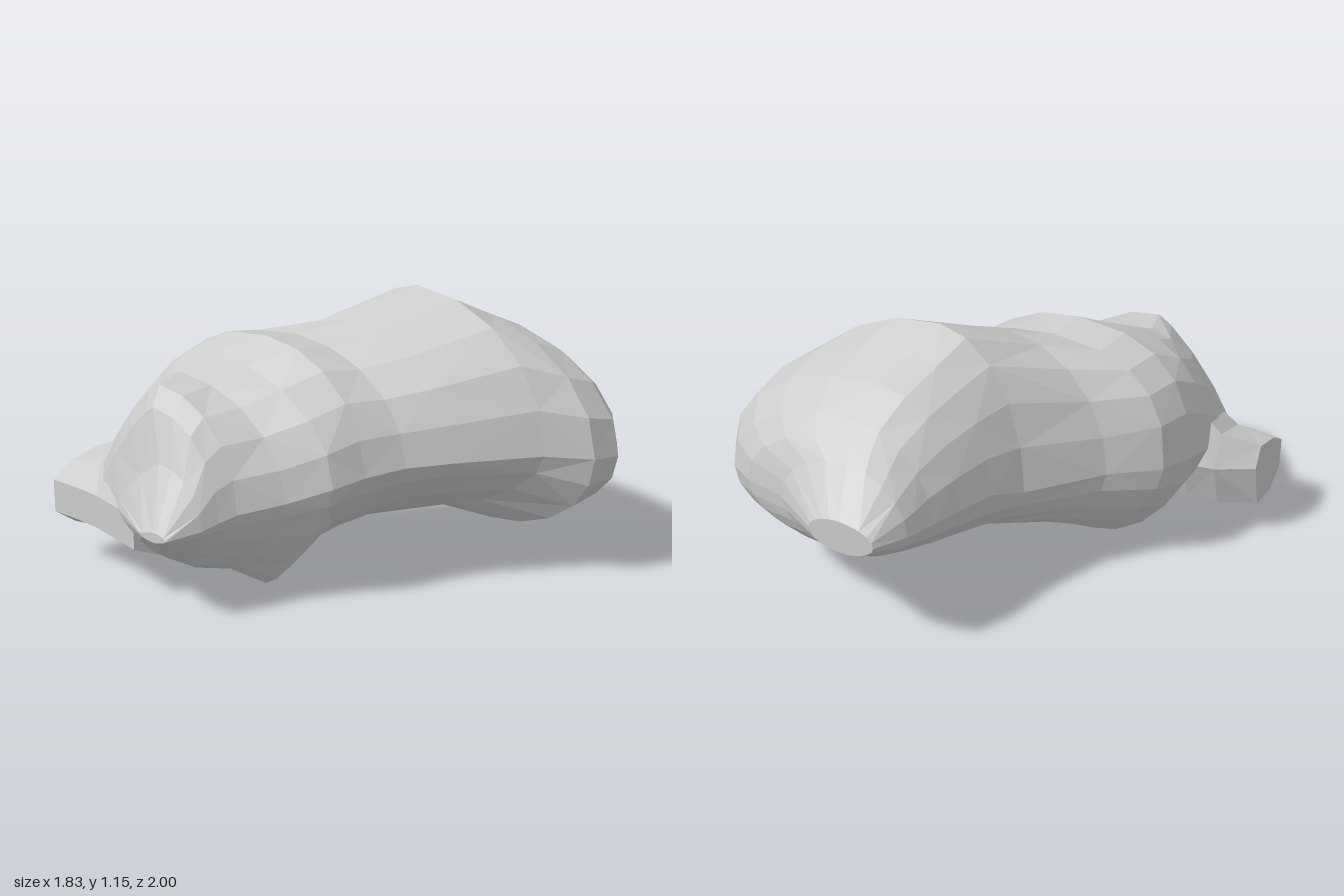
import * as THREE from 'three';

// Skin a list of equal-length closed rings and cap both ends
function loft(rings) {
  const pos = [], n = rings[0].length;
  const tri = (...p) => p.forEach(v => pos.push(v.x, v.y, v.z));
  const mid = r => r.reduce((s, p) => s.add(p), new THREE.Vector3()).divideScalar(n);
  const first = rings[0], last = rings[rings.length - 1];
  const c0 = mid(first), c1 = mid(last);
  for (let j = 0; j < n; j++) {
    const k = (j + 1) % n;
    for (let i = 0; i < rings.length - 1; i++) {
      const a = rings[i][j], b = rings[i + 1][j], c = rings[i + 1][k], d = rings[i][k];
      // alternate the diagonals for irregular facets
      if ((i + j) % 2) { tri(a, b, d); tri(b, c, d); }
      else { tri(a, b, c); tri(a, c, d); }
    }
    tri(c0, first[j], first[k]);
    tri(c1, last[k], last[j]);
  }
  const g = new THREE.BufferGeometry();
  g.setAttribute('position', new THREE.Float32BufferAttribute(pos, 3));
  g.computeVertexNormals();
  return g;
}

// Boulder sections: z, left x/y, right x/y, crest x/y, underside x/y
const SECTIONS = [
  [1.0, -.2, .36, -.05, .36, -.12, .38, -.12, .34],
  [.87, -.48, .36, .01, .38, -.22, .6, -.2, .22],
  [.8, -.66, .36, .03, .4, -.32, .79, -.2, .18],
  [.73, -.74, .38, .06, .42, -.36, .86, -.18, .14],
  [.58, -.74, .42, .17, .45, -.4, .87, -.14, .1],
  [.44, -.73, .45, .29, .5, -.36, .93, -.08, .01],
  [.3, -.72, .48, .33, .52, -.2, 1.0, -.3, 0],
  [.15, -.68, .5, .41, .54, -.17, .98, -.22, .09],
  [0, -.5, .5, .53, .55, -.05, 1.03, -.13, .16],
  [-.28, -.28, .5, .76, .56, .1, 1.15, .12, .23],
  [-.43, -.22, .55, .9, .54, .14, 1.07, .38, .17],
  [-.58, -.17, .55, .91, .52, .18, 1.0, .38, .22],
  [-.72, -.13, .55, .81, .52, .2, .91, .35, .29],
  [-.8, -.12, .56, .68, .54, .18, .85, .28, .35],
  [-.86, -.11, .57, .47, .56, .15, .8, .2, .4],
  [-1, -.05, .58, .24, .58, .1, .65, .1, .51],
];

// Four superellipse quarters joining right, crest, left and underside
function bodyRing([z, lx, ly, rx, ry, tx, ty, bx, by]) {
  const ring = [], steps = 20;
  const { lerp, smoothstep } = THREE.MathUtils;
  const rear = smoothstep(-z, .1, .5);
  for (let j = 0; j < steps; j++) {
    const a = (j / steps) * Math.PI * 2, c = Math.cos(a), s = Math.sin(a);
    const up = s >= 0, right = c >= 0;
    // the left shoulder is sliced off towards the front; the belly is lean
    let e = 2;
    if (up && !right && z > .1) e = lerp(2.6, 1.25, smoothstep(z, .32, .76));
    if (!up) e = lerp(right ? 1.3 : 1.7, right ? 2.1 : 1.8, rear);
    const u = Math.abs(c) ** (2 / e), v = Math.abs(s) ** (2 / e);
    const sx = right ? rx : lx, sy = right ? ry : ly;
    const px = up ? tx : bx, py = up ? ty : by;
    ring.push(new THREE.Vector3(px + (sx - px) * u, sy + (py - sy) * v, z));
  }
  return ring;
}

// Spur end face (z, y); further rings deepen and lift until they meet the shoulder
const SPUR = [[.73, .15], [.83, .22], [.83, .36], [.73, .42], [.59, .45], [.55, .36], [.6, .16]];
const SPUR_RINGS = [ // x, front z, depth scale, lift
  [-.92, .83, 1, 1], [-.77, .83, 1.32, 1.6], [-.64, .84, 1.45, 3],
  [-.5, .87, 1.5, 4.2], [-.35, .9, 1.5, 5],
];
const spurRing = ([x, front, depth, lift]) => SPUR.map(([z, y]) =>
  new THREE.Vector3(x, y > .36 ? .36 + (y - .36) * lift : y, front + (z - .83) * depth));

export function createModel() {
  const group = new THREE.Group();
  group.name = 'rock';
  const material = new THREE.MeshStandardMaterial({ color: 0xcccccc, flatShading: true });
  const add = (name, rings) => {
    const mesh = new THREE.Mesh(loft(rings), material);
    mesh.name = name;
    group.add(mesh);
  };
  add('boulder', SECTIONS.map(bodyRing));
  add('spur', SPUR_RINGS.map(spurRing));
  return group;
}
